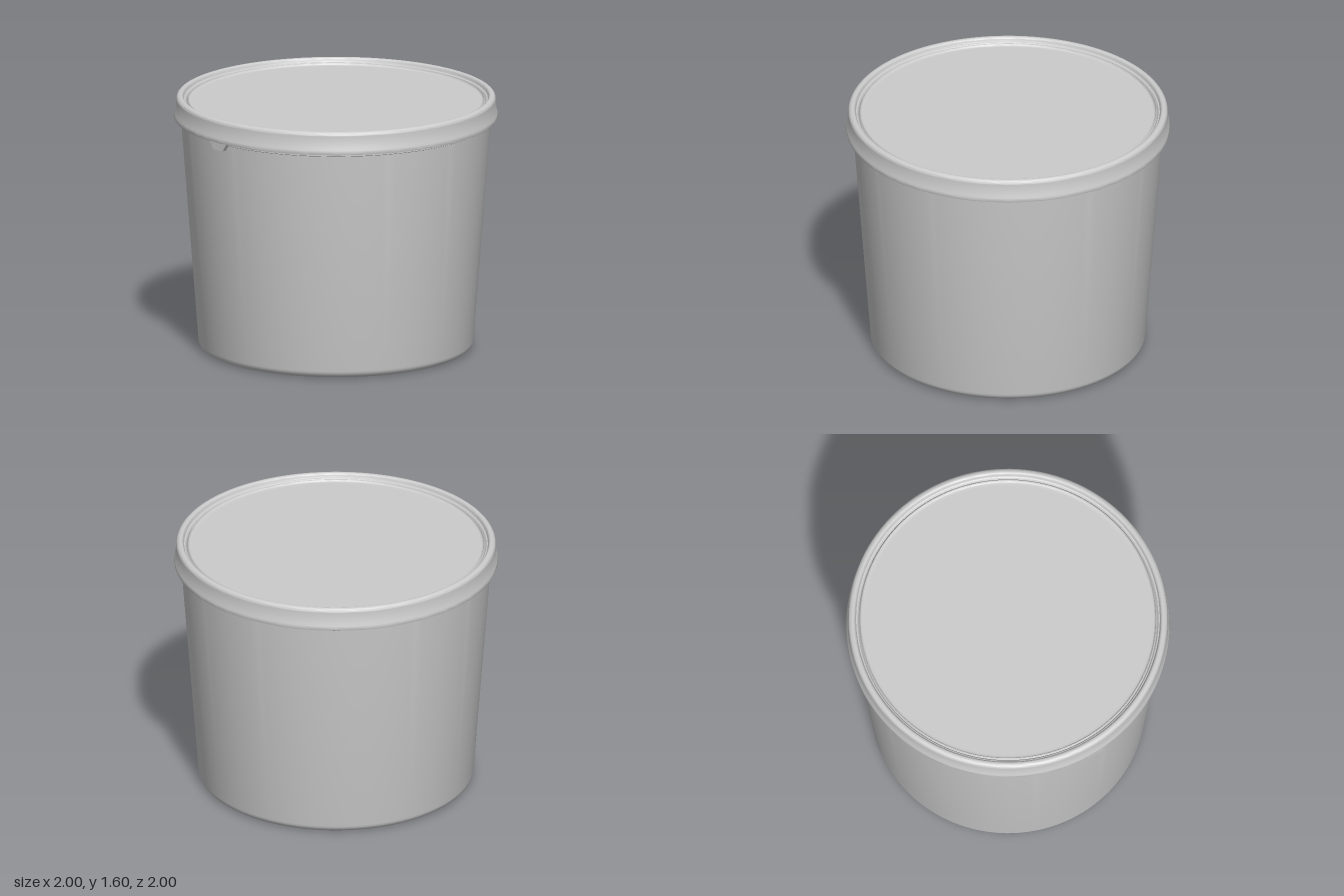
import * as THREE from 'three';
import { toCreasedNormals } from 'three/addons/utils/BufferGeometryUtils.js';

const material = new THREE.MeshStandardMaterial({ color: 0xcccccc, side: THREE.DoubleSide });

// Turned part from [radius, height] pairs, listed from the bottom centre outward and up
function turned(name, profile) {
  const points = profile.map(([r, y]) => new THREE.Vector2(r, y));
  const geometry = toCreasedNormals(new THREE.LatheGeometry(points, 128), 0.6);
  const mesh = new THREE.Mesh(geometry, material);
  mesh.name = name;
  return mesh;
}

// Points of a rounded corner, angles in degrees
function arc(cx, cy, radius, from, to, steps = 6) {
  return Array.from({ length: steps + 1 }, (_, i) => {
    const a = THREE.MathUtils.degToRad(from + ((to - from) * i) / steps);
    return [cx + radius * Math.cos(a), cy + radius * Math.sin(a)];
  });
}

export function createModel() {
  const group = new THREE.Group();
  group.name = 'lidded tub';

  // Tapered tub with a slightly recessed base and rounded foot
  group.add(turned('tub', [
    [0, 0.012], [0.775, 0.012], [0.785, 0],
    ...arc(0.8, 0.05, 0.05, -90, -4),
    [0.957, 1.44], [0.967, 1.445], [0.967, 1.47],
  ]));

  // Snap-on lid: flared skirt, rounded rim, stepped recess and flat panel
  group.add(turned('lid', [
    [0.955, 1.465], [0.985, 1.46], [0.998, 1.46], [1.0, 1.465],
    [0.998, 1.487], [0.992, 1.5], [0.987, 1.57],
    ...arc(0.962, 1.575, 0.025, 0, 90),
    ...arc(0.958, 1.585, 0.015, 90, 180, 4),
    [0.938, 1.575], [0.93, 1.572], [0.923, 1.562],
    ...arc(0.9, 1.575, 0.015, 0, -90, 4).map(([r, y]) => [r, y]),
    [0.885, 1.56], [0, 1.56],
  ]));

  // Pull tab under the skirt
  const shape = new THREE.Shape();
  shape.moveTo(-0.085, 0.06);
  shape.lineTo(-0.085, 0.05);
  shape.lineTo(-0.07, 0.043);
  shape.lineTo(-0.045, 0.005);
  shape.lineTo(-0.037, 0);
  shape.lineTo(0.037, 0);
  shape.lineTo(0.045, 0.005);
  shape.lineTo(0.07, 0.043);
  shape.lineTo(0.085, 0.05);
  shape.lineTo(0.085, 0.06);
  const tab = new THREE.Mesh(
    new THREE.ExtrudeGeometry(shape, { depth: 0.025, bevelEnabled: false }), material);
  tab.name = 'pullTab';
  const angle = -0.637;
  tab.position.set(0.965 * Math.sin(angle), 1.41, 0.965 * Math.cos(angle));
  tab.rotation.y = angle;
  group.add(tab);

  return group;
}
